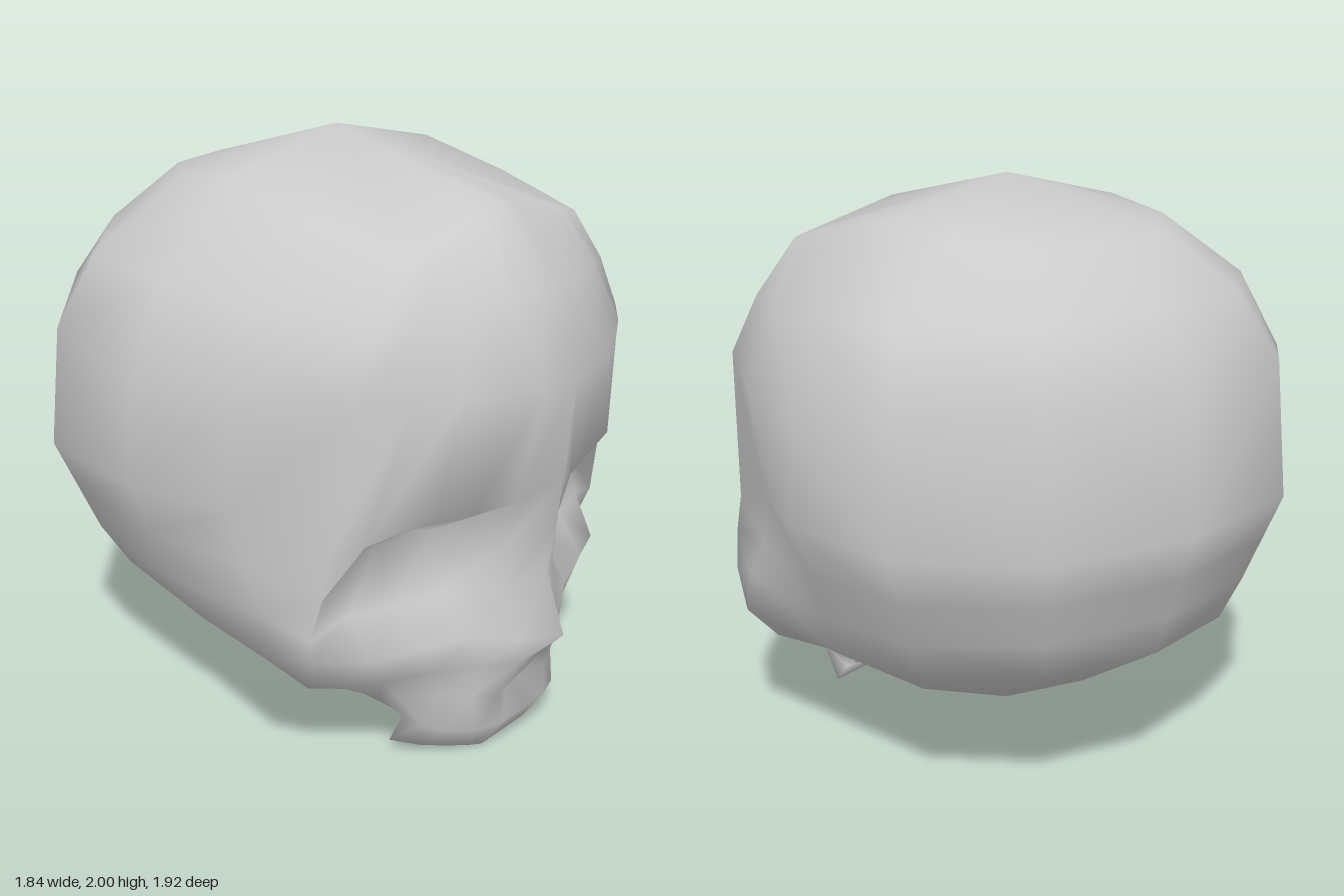
import * as THREE from 'three';

// Each ring runs from the front centre round the left side to the back centre:
// seven front points, then four points of the back curve.
const BACK = [[1, 0], [0.93, 0.52], [0.55, 0.886], [0, 1]];

// Back curve from the side point (w, ys, zs) to the midline point (0, yb, zb)
function backCurve([w, ys, zs, yb, zb]) {
  return BACK.map(([fx, f]) => [w * fx, ys + (yb - ys) * f, zs + (zb - zs) * f]);
}

// Dome ring: bowed forehead from centre to corner, then on to the side
function domeRing(yc, zc, corner, bow, back) {
  const pts = [];
  for (let i = 0; i <= 5; i++) {
    const t = i / 5;
    pts.push([
      corner[0] * t,
      yc + (corner[1] - yc) * t,
      zc + (corner[2] - zc) * t + bow * 4 * t * (1 - t),
    ]);
  }
  pts.push([(corner[0] + back[0]) * 0.53, (corner[1] + back[1]) / 2, (corner[2] + back[2]) / 2]);
  return [...pts, ...backCurve(back)];
}

// Face ring: modelled front points plus the back curve
const faceRing = (front, back) => [...front, ...backCurve(back)];

function headRings() {
  const rings = [];
  // dome
  rings.push(domeRing(1.85, 0.645, [0.42, 1.74, 0.64], 0, [0.47, 1.89, -0.03, 1.83, -0.59]));
  rings.push(domeRing(1.6, 0.8, [0.58, 1.55, 0.65], 0.03, [0.78, 1.62, -0.05, 1.66, -0.76]));
  rings.push(domeRing(1.34, 0.96, [0.68, 1.36, 0.66], 0.06, [0.885, 1.3, -0.08, 1.46, -0.92]));
  // brow
  rings.push(faceRing([
    [0, 1.0, 0.93], [0.15, 0.95, 0.86], [0.3, 0.94, 0.81], [0.47, 0.98, 0.79],
    [0.63, 0.91, 0.66], [0.72, 0.86, 0.58], [0.8, 0.95, 0.25],
  ], [0.92, 0.98, -0.08, 0.98, -0.96]));
  // deep top of the eye sockets
  rings.push(faceRing([
    [0, 0.84, 0.915], [0.13, 0.8, 0.83], [0.27, 0.82, 0.62], [0.45, 0.86, 0.56],
    [0.61, 0.81, 0.53], [0.745, 0.73, 0.575], [0.79, 0.78, 0.3],
  ], [0.85, 0.8, -0.08, 0.82, -0.9]));
  // socket floor
  rings.push(faceRing([
    [0, 0.67, 0.885], [0.13, 0.62, 0.82], [0.28, 0.62, 0.67], [0.46, 0.62, 0.62],
    [0.62, 0.64, 0.58], [0.765, 0.6, 0.55], [0.8, 0.64, 0.39],
  ], [0.79, 0.62, -0.05, 0.68, -0.85]));
  // nose tip and cheekbones
  rings.push(faceRing([
    [0, 0.455, 0.965], [0.1, 0.44, 0.87], [0.26, 0.49, 0.79], [0.44, 0.5, 0.73],
    [0.6, 0.5, 0.67], [0.735, 0.5, 0.52], [0.81, 0.5, 0.41],
  ], [0.7, 0.45, 0, 0.54, -0.8]));
  // upper lip and lower cheeks
  rings.push(faceRing([
    [0, 0.38, 0.895], [0.1, 0.35, 0.86], [0.22, 0.37, 0.8], [0.36, 0.38, 0.72],
    [0.5, 0.36, 0.62], [0.6, 0.35, 0.52], [0.67, 0.35, 0.45],
  ], [0.52, 0.34, 0.1, 0.31, -0.45]));
  // mouth
  rings.push(faceRing([
    [0, 0.25, 0.75], [0.13, 0.23, 0.81], [0.22, 0.25, 0.77], [0.32, 0.26, 0.7],
    [0.42, 0.27, 0.62], [0.46, 0.27, 0.57], [0.5, 0.29, 0.5],
  ], [0.4, 0.31, 0.33, 0.32, 0.17]));
  // chin
  rings.push(faceRing([
    [0, 0.13, 0.83], [0.12, 0.12, 0.82], [0.21, 0.12, 0.79], [0.3, 0.13, 0.72],
    [0.35, 0.15, 0.66], [0.375, 0.17, 0.6], [0.36, 0.17, 0.565],
  ], [0.3, 0.17, 0.56, 0.17, 0.57]));
  // underside of the jaw with its rear corners
  rings.push(faceRing([
    [0, 0, 0.74], [0.12, 0, 0.74], [0.17, 0.01, 0.72], [0.23, 0.02, 0.68],
    [0.3, 0.03, 0.62], [0.37, 0.05, 0.54], [0.3, 0.07, 0.58],
  ], [0.25, 0.05, 0.6, 0.03, 0.63]));
  return rings;
}

// Mirror each half ring, skin the rings and close both poles
function skin(halfRings, top, bottom) {
  const rings = halfRings.map((h) => [
    ...h,
    ...h.slice(1, -1).reverse().map(([x, y, z]) => [-x, y, z]),
  ]);
  const n = rings[0].length;
  const last = (rings.length - 1) * n;
  const topId = rings.length * n;
  const index = [];
  for (let c = 0; c < n; c++) {
    const d = (c + 1) % n;
    index.push(topId, c, d);
    for (let r = 0; r < rings.length - 1; r++) {
      const a = r * n + c, b = r * n + d, e = a + n, f = b + n;
      // mirrored diagonals keep both halves alike
      if (c < n / 2) index.push(a, e, f, a, f, b);
      else index.push(a, e, b, b, e, f);
    }
    index.push(last + c, topId + 1, last + d);
  }
  const geometry = new THREE.BufferGeometry();
  const points = [...rings.flat(), top, bottom];
  geometry.setAttribute('position', new THREE.Float32BufferAttribute(points.flat(), 3));
  geometry.setIndex(index);
  geometry.computeVertexNormals();
  return geometry;
}

export function createModel() {
  const group = new THREE.Group();
  group.name = 'head';
  const material = new THREE.MeshStandardMaterial({ color: 0xcccccc, side: THREE.DoubleSide });
  const skull = new THREE.Mesh(skin(headRings(), [0, 2, -0.03], [0, 0.01, 0.69]), material);
  skull.name = 'skull';
  group.add(skull);
  return group;
}
